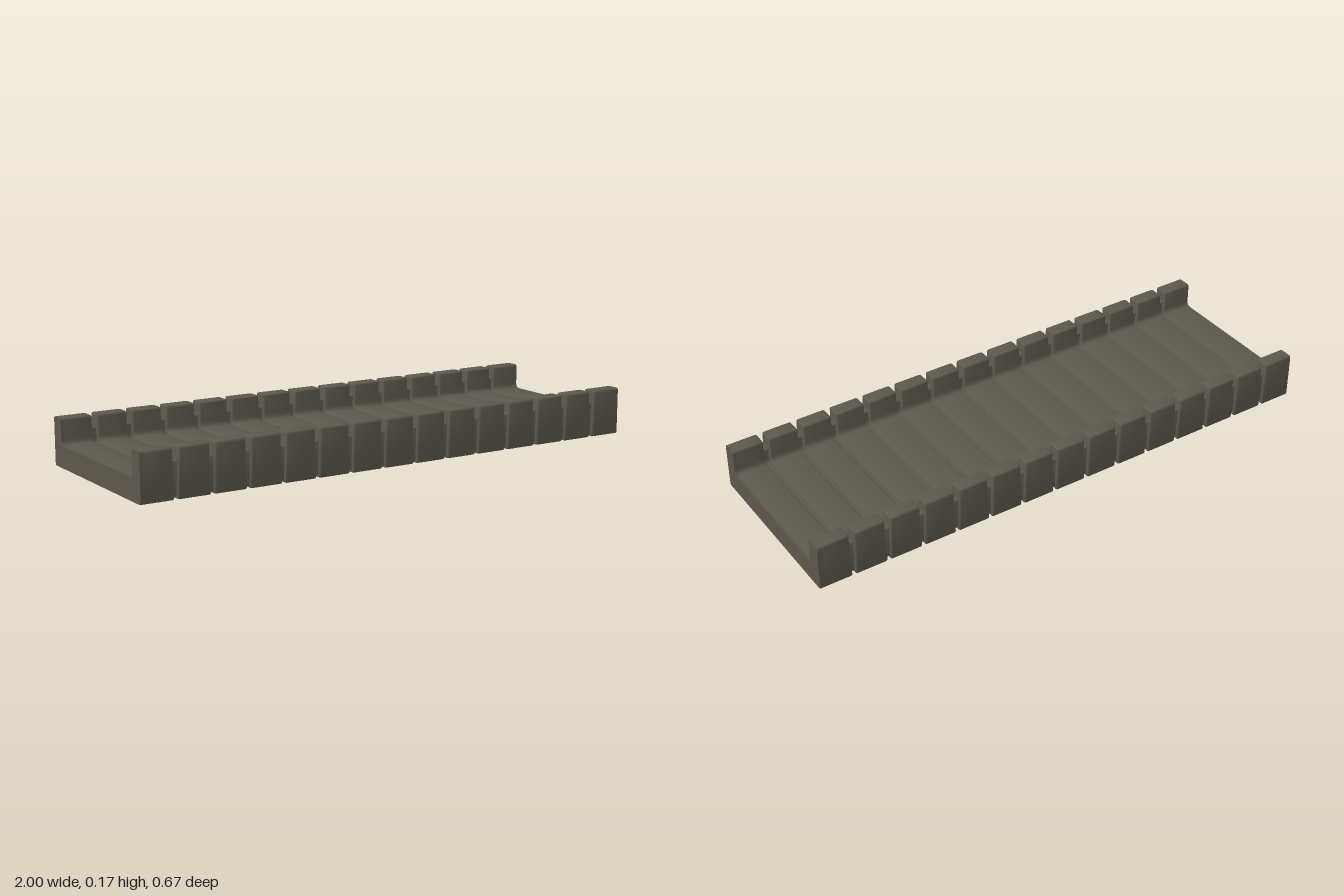
import * as THREE from 'three';
import { toCreasedNormals } from 'three/addons/utils/BufferGeometryUtils.js';

const COUNT = 15, HEIGHT = 0.175, WIDTH = 0.122;
const PITCH = (2 - WIDTH) / (COUNT - 1);

// U-shaped channel cross-section with rounded corners: [z, y, corner radius]
function channelShape(outer, inner, top, floor, bottom) {
  const corners = [
    [-outer, bottom, 0.008], [outer, bottom, 0.008], [outer, top, 0.008], [inner, top, 0.008],
    [inner, floor, 0.02], [-inner, floor, 0.02], [-inner, top, 0.008], [-outer, top, 0.008],
  ];
  const shape = new THREE.Shape();
  corners.forEach(([x, y, r], i) => {
    const p = new THREE.Vector2(x, y);
    const toward = (c) => new THREE.Vector2(c[0], c[1]).sub(p).setLength(r).add(p);
    const a = toward(corners[(i + 7) % 8]), b = toward(corners[(i + 1) % 8]);
    if (i === 0) shape.moveTo(a.x, a.y);
    else shape.lineTo(a.x, a.y);
    shape.quadraticCurveTo(x, y, b.x, b.y);
  });
  shape.closePath();
  return shape;
}

// Extrude a cross-section along x, centred on x = 0
function extrudeX(shape, length, bevel = 0) {
  const geo = new THREE.ExtrudeGeometry(shape, {
    depth: length - 2 * bevel, curveSegments: 4, bevelEnabled: bevel > 0,
    bevelThickness: bevel, bevelSize: bevel, bevelOffset: -bevel, bevelSegments: 3,
  });
  geo.translate(0, 0, bevel - length / 2);
  geo.rotateY(Math.PI / 2);
  return geo;
}

export function createModel() {
  const group = new THREE.Group();
  const stone = new THREE.MeshStandardMaterial({ color: 0x5c584d });
  stone.name = 'grey brown stone';
  const add = (name, geo, x) => {
    const mesh = new THREE.Mesh(toCreasedNormals(geo, 0.6), stone);
    mesh.name = name;
    mesh.position.x = x;
    group.add(mesh);
  };

  const profile = channelShape(0.334, 0.278, HEIGHT, 0.08, 0);

  // Bevelled segments, slightly narrower toward the top
  const segment = extrudeX(profile, WIDTH, 0.006);
  const pos = segment.attributes.position;
  for (let i = 0; i < pos.count; i++) {
    const x = pos.getX(i);
    pos.setX(i, x - Math.sign(x) * 0.005 * pos.getY(i) / HEIGHT);
  }
  for (let i = 0; i < COUNT; i++) add('segment', segment, (i - (COUNT - 1) / 2) * PITCH);

  // Flush cut faces at both ends
  for (const side of [-1, 1]) add('endFace', extrudeX(profile, 0.02), side * 0.99);

  // Recessed core joining the segments
  add('core', extrudeX(channelShape(0.322, 0.29, 0.13, 0.07, 0.006), 1.96), 0);
  return group;
}
